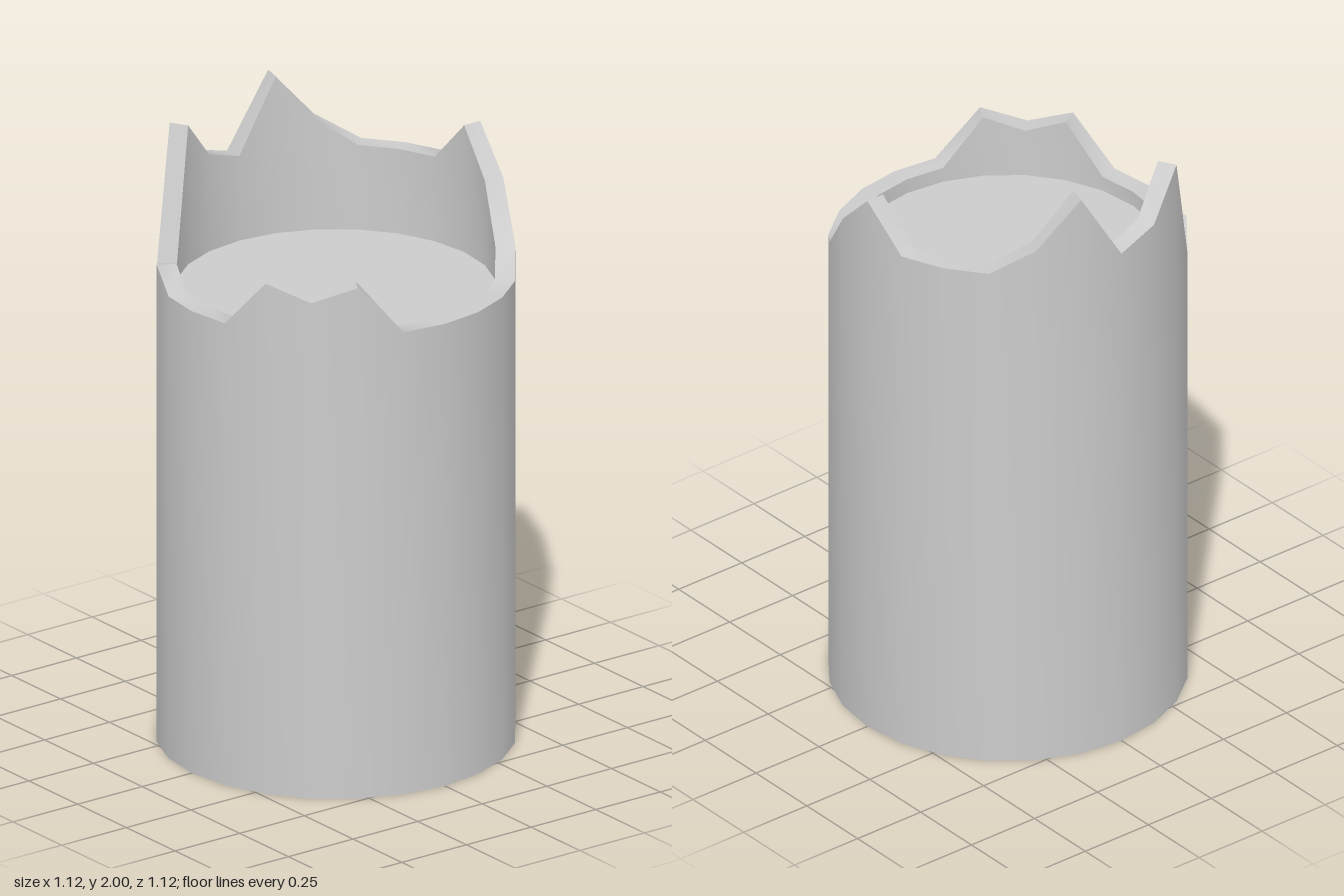
import * as THREE from 'three';
import { toCreasedNormals } from 'three/addons/utils/BufferGeometryUtils.js';

const SIDES = 24, OUTER = 0.558, INNER = 0.496, FLOOR = 1.48;

// Height of the broken edge at each side, from the front (+z) round through +x
const RIM = [
  1.53, 1.53, 1.53, 1.53, 1.59, 1.76, 1.9, 1.76, 1.76, 1.76, 1.84, 2.0,
  1.76, 1.8, 1.94, 1.53, 1.58, 1.53, 1.53, 1.53, 1.69, 1.64, 1.69, 1.53,
];

const rimHeight = (i) => RIM[i % SIDES];

// Band of quads between two rings; each ring is a radius and a height rule
function band(r0, h0, r1, h1) {
  const positions = [], indices = [];
  for (let i = 0; i <= SIDES; i++) {
    const a = (i % SIDES) / SIDES * Math.PI * 2;
    positions.push(r0 * Math.sin(a), h0(i), r0 * Math.cos(a));
    positions.push(r1 * Math.sin(a), h1(i), r1 * Math.cos(a));
    if (i < SIDES) {
      const k = i * 2;
      indices.push(k, k + 2, k + 1, k + 1, k + 2, k + 3);
    }
  }
  const geometry = new THREE.BufferGeometry();
  geometry.setAttribute('position', new THREE.Float32BufferAttribute(positions, 3));
  geometry.setIndex(indices);
  return toCreasedNormals(geometry, 1.0);
}

export function createModel() {
  const group = new THREE.Group();
  group.name = 'brokenColumn';
  const material = new THREE.MeshStandardMaterial({ color: 0xcccccc });

  const add = (name, geometry) => {
    const mesh = new THREE.Mesh(geometry, material);
    mesh.name = name;
    group.add(mesh);
    return mesh;
  };

  // Wall: outside, jagged top edge, inside
  add('outerWall', band(OUTER, () => 0, OUTER, rimHeight));
  add('brokenRim', band(OUTER, rimHeight, INNER, rimHeight));
  add('innerWall', band(INNER, rimHeight, INNER, () => FLOOR));

  // Flat core surface inside the broken wall, and the underside
  const core = add('coreTop', new THREE.CircleGeometry(INNER, SIDES));
  core.rotation.x = -Math.PI / 2;
  core.position.y = FLOOR;
  const base = add('underside', new THREE.CircleGeometry(OUTER, SIDES));
  base.rotation.x = Math.PI / 2;

  return group;
}
